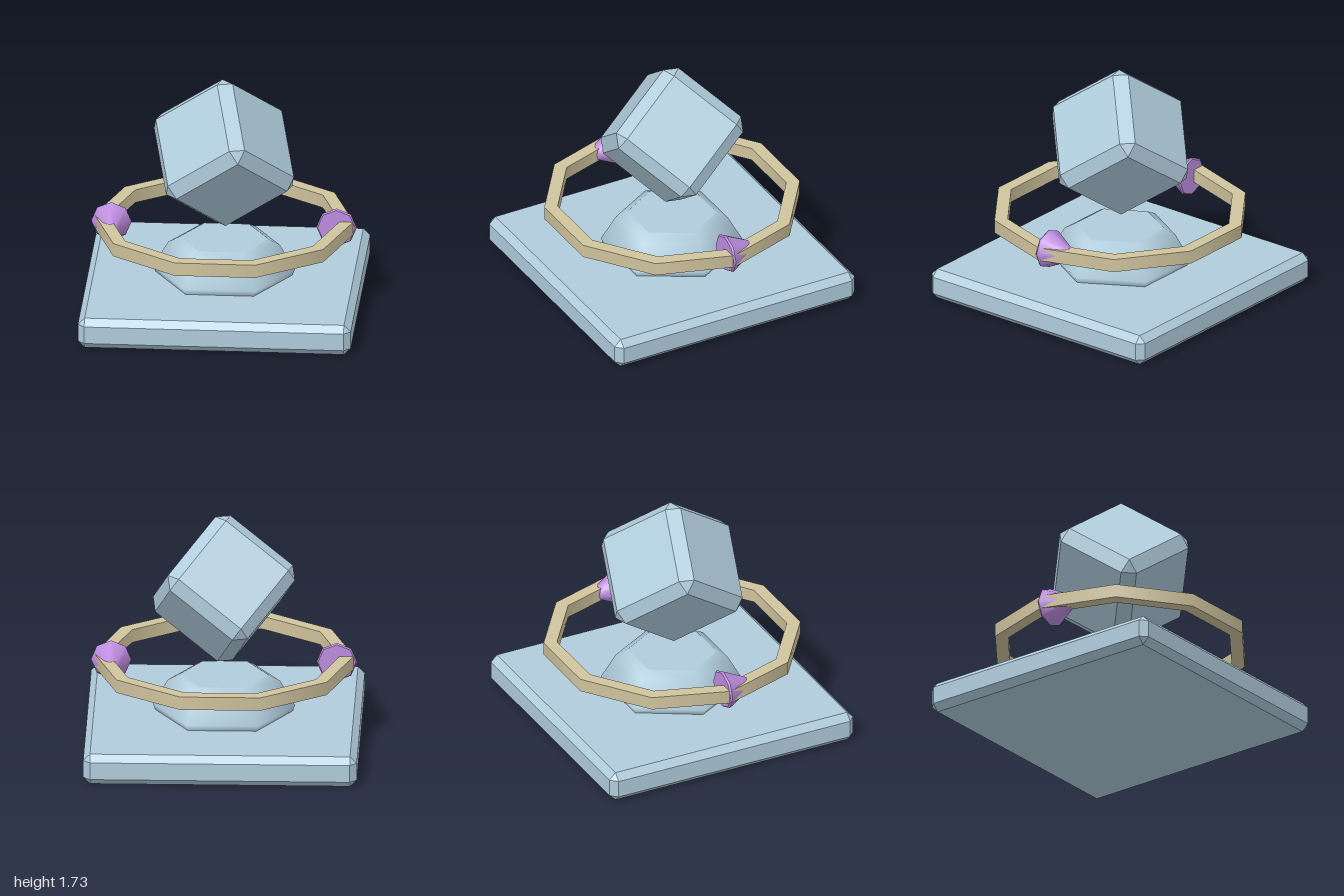
import * as THREE from 'three';
import { ConvexGeometry } from 'three/addons/geometries/ConvexGeometry.js';

const material = (name, color) => Object.assign(new THREE.MeshStandardMaterial({ color }), { name });

// Box with every edge cut at 45 degrees and small triangles at the corners
function chamferBox(w, h, d, b) {
  const half = [w / 2, h / 2, d / 2];
  const points = [];
  for (const x of [-1, 1]) for (const y of [-1, 1]) for (const z of [-1, 1]) {
    for (let full = 0; full < 3; full++) {
      const c = [x, y, z].map((s, i) => s * (half[i] - (i === full ? 0 : b)));
      points.push(new THREE.Vector3(...c));
    }
  }
  return new ConvexGeometry(points);
}

// Profile of [radius, height] pairs turned around y, with one vertex on +x
function turned(profile, sides) {
  return new THREE.LatheGeometry(profile.map(p => new THREE.Vector2(...p)), sides, Math.PI / 2);
}

export function createModel() {
  const model = new THREE.Group();
  model.name = 'cubeMonument';
  const stone = material('paleBlue', 0xb0ccdc);
  const gold = material('sand', 0xd0c49e);
  const purple = material('violet', 0xbe8ce0);

  const add = (name, geometry, mat, parent = model) => {
    const mesh = new THREE.Mesh(geometry, mat);
    mesh.name = name;
    parent.add(mesh);
    return mesh;
  };

  // Square base slab
  add('base', chamferBox(2, 0.23, 2, 0.05), stone).position.y = 0.115;

  // Six-sided pedestal with softened shoulders
  add('pedestal', turned([[0.5, 0.23], [0.52, 0.275], [0.41, 0.465], [0.325, 0.51]], 6), stone);
  add('pedestalTop', turned([[0.325, 0.51], [0, 0.51]], 6), stone);

  // Cube balanced on one corner: its three axes lean equally around the vertical
  const axis = deg => {
    const a = THREE.MathUtils.degToRad(deg);
    const r = Math.sqrt(2 / 3);
    return new THREE.Vector3(r * Math.cos(a), Math.sqrt(1 / 3), r * Math.sin(a));
  };
  const cube = add('balancedCube', chamferBox(0.744, 0.744, 0.744, 0.081), stone);
  cube.quaternion.setFromRotationMatrix(new THREE.Matrix4().makeBasis(axis(15), axis(255), axis(135)));
  cube.position.y = 1.18;

  // Ten-sided floating ring, one strip for each side of its square section
  const ring = new THREE.Group();
  ring.name = 'ring';
  model.add(ring);
  const section = [[0.95, 0.565], [0.95, 0.665], [0.85, 0.665], [0.85, 0.565]];
  ['Outer', 'Top', 'Inner', 'Bottom'].forEach((side, i) => {
    add('ring' + side, turned([section[i], section[(i + 1) % 4]], 10), gold, ring);
  });

  // Two eight-sided arrowheads pointing the same way round the ring
  for (const side of [-1, 1]) {
    const arrow = new THREE.Group();
    arrow.name = side > 0 ? 'leftArrow' : 'rightArrow';
    arrow.position.set(side * 0.825, 0.617, 0);
    arrow.rotation.x = -side * Math.PI / 2;
    model.add(arrow);
    add('arrowBack', turned([[0, -0.013], [0.138, -0.013]], 8), purple, arrow);
    add('arrowRim', turned([[0.138, -0.013], [0.148, 0]], 8), purple, arrow);
    add('arrowCone', turned([[0.148, 0], [0.055, 0.182]], 8), purple, arrow);
    add('arrowTip', turned([[0.055, 0.182], [0.02, 0.205], [0, 0.207]], 8), purple, arrow);
  }

  return model;
}
